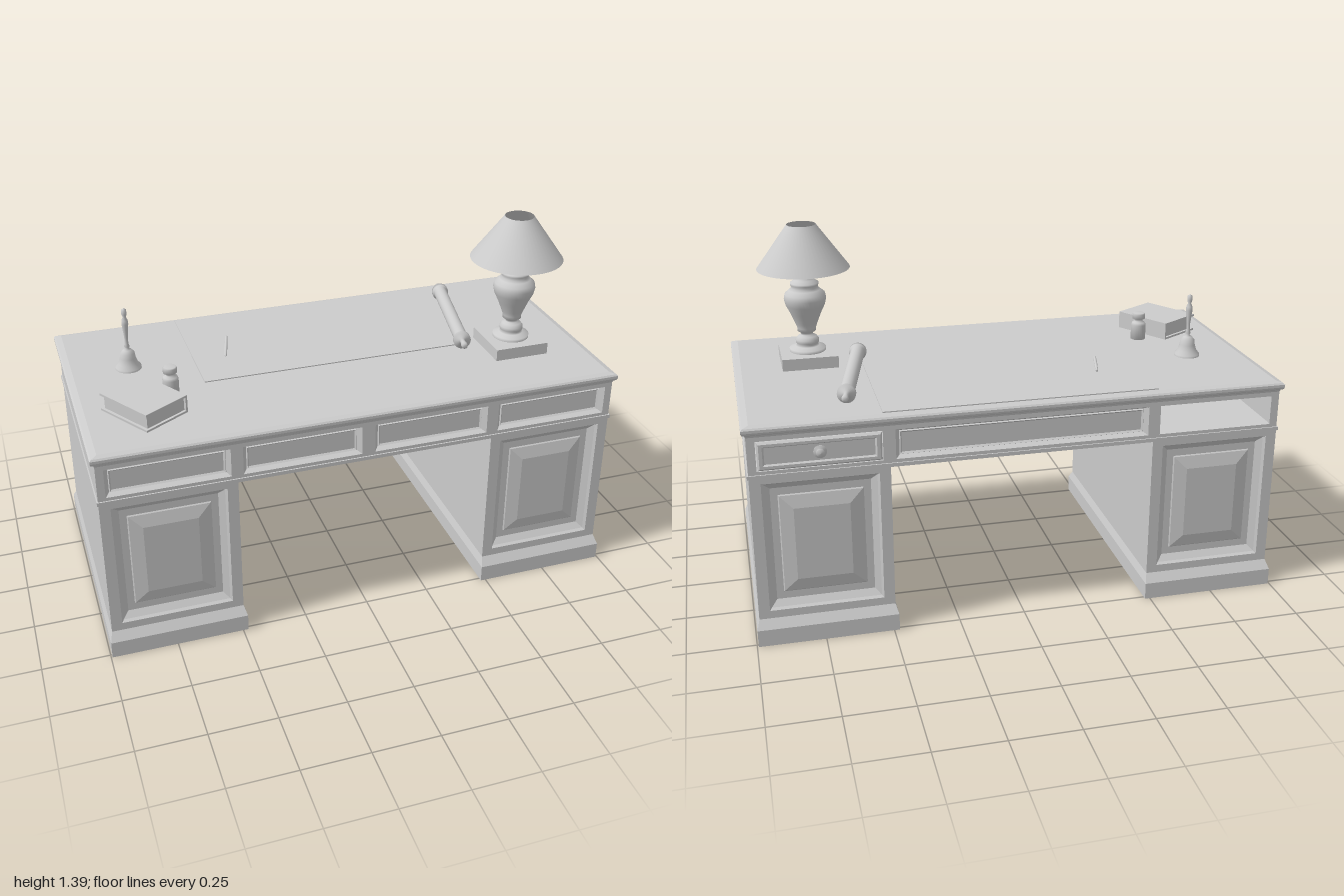
import * as THREE from 'three';

const material = new THREE.MeshStandardMaterial({ color: 0xcccccc, side: THREE.DoubleSide });

function add(parent, name, geometry, x = 0, y = 0, z = 0) {
  const mesh = new THREE.Mesh(geometry, material);
  mesh.name = name;
  mesh.position.set(x, y, z);
  parent.add(mesh);
  return mesh;
}

const box = (w, h, d) => new THREE.BoxGeometry(w, h, d);

const lathe = (points, sides = 32) =>
  new THREE.LatheGeometry(points.map(([r, y]) => new THREE.Vector2(r, y)), sides);

// Rectangular rings [half width, half depth, level] joined upward with flat faces
function loft(rings, cap = true) {
  const corners = rings.map(([w, d, y]) => [[-w, y, d], [w, y, d], [w, y, -d], [-w, y, -d]]);
  const out = [];
  const quad = (a, b, c, d) => out.push(...a, ...b, ...c, ...a, ...c, ...d);
  for (let i = 0; i < corners.length - 1; i++) {
    for (let j = 0; j < 4; j++) {
      const k = (j + 1) % 4;
      quad(corners[i][j], corners[i][k], corners[i + 1][k], corners[i + 1][j]);
    }
  }
  if (cap) quad(...corners[corners.length - 1]);
  const geometry = new THREE.BufferGeometry();
  geometry.setAttribute('position', new THREE.Float32BufferAttribute(out, 3));
  geometry.computeVertexNormals();
  return geometry;
}

// The same rings turned to face +z: [half width, half height, z]
const facePanel = (rings) => loft(rings).rotateX(Math.PI / 2);

// Flat frame in the xy plane with rectangular openings [centre x, half width]
function frame(openings, halfHeight) {
  const shape = new THREE.Shape();
  shape.moveTo(-0.985, -0.075).lineTo(0.985, -0.075).lineTo(0.985, 0.075).lineTo(-0.985, 0.075).closePath();
  for (const [x, w] of openings) {
    const hole = new THREE.Path();
    hole.moveTo(x - w, -halfHeight).lineTo(x - w, halfHeight);
    hole.lineTo(x + w, halfHeight).lineTo(x + w, -halfHeight).closePath();
    shape.holes.push(hole);
  }
  return new THREE.ExtrudeGeometry(shape, { depth: 0.012, bevelEnabled: false });
}

function pedestal() {
  const group = new THREE.Group();
  group.name = 'pedestal';
  add(group, 'plinth', loft([[0.2575, 0.515, 0], [0.2575, 0.515, 0.065], [0.2475, 0.49, 0.098]], false));
  for (const s of [-1, 1]) {
    add(group, 'sideWall', new THREE.PlaneGeometry(0.98, 0.56).rotateY(s * Math.PI / 2), s * 0.2475, 0.378);
    const panel = add(group, 'raisedPanel', facePanel([
      [0.2475, 0.28, 0.49], [0.2075, 0.25, 0.49], [0.2, 0.243, 0.48], [0.178, 0.22, 0.462],
      [0.152, 0.192, 0.462], [0.148, 0.188, 0.466], [0.1, 0.14, 0.478],
    ]), 0, 0.378);
    if (s < 0) panel.rotation.y = Math.PI;
  }
  return group;
}

// Recessed drawer front with a moulded lip
const drawerFront = (w) => facePanel([
  [w, 0.056, 0.49], [w - 0.015, 0.046, 0.472], [w - 0.018, 0.043, 0.478], [w - 0.024, 0.037, 0.472],
]);

function apron() {
  const group = new THREE.Group();
  group.name = 'apron';
  const y = 0.7325;
  const front = [-0.735, -0.247, 0.247, 0.735].map((x) => [x, 0.222]);
  add(group, 'frontFrame', frame(front, 0.056), 0, y, 0.478);
  for (const [x, w] of front) add(group, 'frontDrawer', drawerFront(w), x, y);

  add(group, 'backFrame', frame([[-0.735, 0.22], [0, 0.47], [0.735, 0.22]], 0.056), 0, y, -0.49);
  add(group, 'centreDrawer', drawerFront(0.47), 0, y).rotation.y = Math.PI;
  const drawer = facePanel([
    [0.217, 0.053, 0.47], [0.217, 0.053, 0.49], [0.21, 0.046, 0.498],
    [0.198, 0.036, 0.498], [0.192, 0.031, 0.491],
  ]);
  add(group, 'backDrawer', drawer, 0.735, y).rotation.y = Math.PI;
  const knob = lathe([[0.024, 0], [0.024, 0.004], [0.009, 0.006], [0.009, 0.012], [0.016, 0.015], [0.014, 0.021], [0, 0.023]], 20);
  add(group, 'drawerKnob', knob.rotateX(-Math.PI / 2), 0.735, y, -0.49);

  // Hollow interior behind the empty drawer opening
  for (const x of [-0.979, -0.505, 0.979]) add(group, 'sideBoard', box(0.012, 0.155, 0.978), x, y);
  add(group, 'lowerBead', box(1.98, 0.014, 0.99), 0, 0.657);
  return group;
}

function lamp() {
  const group = new THREE.Group();
  group.name = 'lamp';
  add(group, 'lampBase', box(0.215, 0.046, 0.22), 0, 0.023);
  add(group, 'lampBody', lathe([
    [0.07, 0.046], [0.07, 0.058], [0.045, 0.066], [0.04, 0.072], [0.045, 0.08], [0.045, 0.092],
    [0.036, 0.104], [0.024, 0.11], [0.024, 0.118], [0.036, 0.126], [0.036, 0.138], [0.042, 0.155],
    [0.058, 0.195], [0.075, 0.23], [0.081, 0.255], [0.077, 0.275], [0.06, 0.29], [0.05, 0.298],
    [0.054, 0.31], [0.054, 0.318], [0.038, 0.328], [0.026, 0.34], [0.02, 0.36], [0.02, 0.385],
    [0.03, 0.41], [0.03, 0.44], [0, 0.445],
  ], 40));
  add(group, 'lampShade', lathe([[0.177, 0.375], [0.055, 0.543]], 48));
  group.position.set(0.71, 0.847, 0.157);
  return group;
}

function book() {
  const group = new THREE.Group();
  group.name = 'book';
  for (const y of [0.005, 0.066]) add(group, 'cover', box(0.194, 0.008, 0.246), 0, y);
  add(group, 'spine', box(0.008, 0.068, 0.246), 0.093, 0.0355);
  add(group, 'pages', box(0.176, 0.054, 0.226), 0.002, 0.0355);
  group.position.set(-0.764, 0.847, 0.235);
  group.rotation.y = 0.547;
  return group;
}

// Lathe laid along the line between two points
function rod(parent, name, profile, from, to) {
  const a = new THREE.Vector3(...from);
  const direction = new THREE.Vector3(...to).sub(a);
  const length = direction.length();
  const geometry = lathe(profile.map(([r, t]) => [r, t * length]), 24);
  const mesh = add(parent, name, geometry, ...from);
  mesh.quaternion.setFromUnitVectors(new THREE.Vector3(0, 1, 0), direction.normalize());
}

export function createModel() {
  const model = new THREE.Group();
  model.name = 'desk';

  for (const s of [-1, 1]) {
    const p = pedestal();
    p.position.x = s * 0.7375;
    model.add(p);
  }
  model.add(apron());
  add(model, 'deskTop', loft([
    [0, 0, 0.805], [0.985, 0.49, 0.805], [0.988, 0.493, 0.813], [0.997, 0.499, 0.817],
    [1, 0.502, 0.825], [1, 0.502, 0.835], [0.994, 0.497, 0.841], [0.972, 0.48, 0.847],
  ]));

  // Objects on the desk
  model.add(lamp(), book());
  add(model, 'blotter', box(1.02, 0.005, 0.56), 0, 0.8485, -0.19);
  rod(model, 'pen', [[0, 0], [0.005, 0.08], [0.006, 0.5], [0.005, 1], [0, 1]],
    [-0.39, 0.857, -0.075], [-0.345, 0.857, -0.245]);
  rod(model, 'scroll', [
    [0, 0], [0.011, 0], [0.013, 0.02], [0.01, 0.05], [0.01, 0.085], [0.034, 0.085], [0.034, 0.115],
    [0.027, 0.115], [0.027, 0.88], [0.034, 0.88], [0.034, 0.91], [0.01, 0.91], [0.01, 0.95],
    [0.013, 0.98], [0.011, 1], [0, 1],
  ], [0.508, 0.882, 0.175], [0.632, 0.882, -0.4]);
  add(model, 'inkBottle', lathe([
    [0, 0], [0.03, 0], [0.03, 0.06], [0.026, 0.07], [0.016, 0.075], [0.016, 0.085],
    [0.026, 0.087], [0.026, 0.106], [0.022, 0.11], [0, 0.11],
  ], 24), -0.645, 0.847, 0.13);
  add(model, 'handBell', lathe([
    [0.05, 0], [0.049, 0.008], [0.037, 0.022], [0.03, 0.045], [0.027, 0.065], [0.016, 0.078],
    [0.007, 0.083], [0.011, 0.092], [0.007, 0.102], [0.007, 0.13], [0.013, 0.185], [0.012, 0.2],
    [0.006, 0.212], [0.01, 0.225], [0.009, 0.243], [0, 0.25],
  ], 24), -0.76, 0.847, -0.12);
  return model;
}
